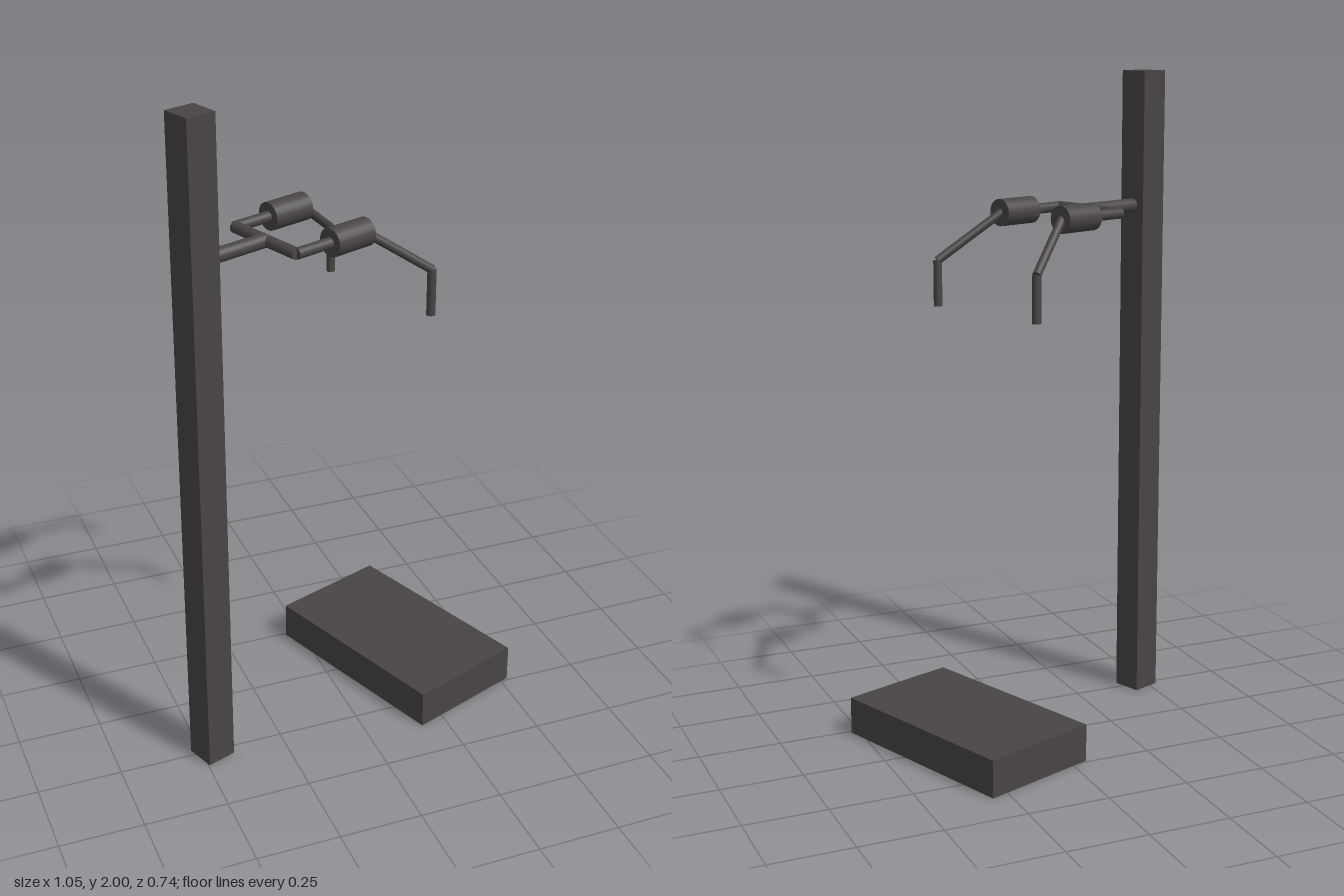
import * as THREE from 'three';

const METAL = new THREE.MeshStandardMaterial({ color: 0x484443 });
METAL.name = 'darkMetal';

const UP = new THREE.Vector3(0, 1, 0);

function box(name, w, h, d, x) {
  const mesh = new THREE.Mesh(new THREE.BoxGeometry(w, h, d), METAL);
  mesh.name = name;
  mesh.position.set(x, h / 2, 0);
  return mesh;
}

// Round bar running between two points
function rod(name, from, to, radius) {
  const a = new THREE.Vector3(...from);
  const b = new THREE.Vector3(...to);
  const dir = b.clone().sub(a);
  const mesh = new THREE.Mesh(new THREE.CylinderGeometry(radius, radius, dir.length(), 24), METAL);
  mesh.name = name;
  mesh.position.copy(a).add(b).multiplyScalar(0.5);
  mesh.quaternion.setFromUnitVectors(UP, dir.normalize());
  return mesh;
}

export function createModel() {
  const model = new THREE.Group();
  model.name = 'postWithForkedArm';

  // Everything is laid out along +x from the post, then turned as a whole
  const rig = new THREE.Group();
  rig.name = 'rig';
  rig.position.set(-0.468, 0, 0.256);
  rig.rotation.y = THREE.MathUtils.degToRad(20);
  model.add(rig);

  rig.add(box('post', 0.092, 2, 0.092, 0));
  rig.add(box('platform', 0.375, 0.115, 0.65, 0.751));

  // Main arm and crossbar
  const y = 1.59;
  rig.add(rod('mainArm', [0.03, y, 0], [0.237, y, 0], 0.021));
  rig.add(rod('crossbar', [0.237, y, -0.131], [0.237, y, 0.131], 0.017));

  // Mirrored fork branches, each with a drum and a bent finger
  for (const side of [-1, 1]) {
    const branch = new THREE.Group();
    branch.name = side > 0 ? 'frontBranch' : 'backBranch';
    const z = 0.13 * side;
    const tipZ = 0.213 * side;
    branch.add(
      rod('forkArm', [0.237, y, z], [0.37, y, z], 0.016),
      rod('drum', [0.355, y, z], [0.485, y, z], 0.041),
      rod('slantedFinger', [0.47, 1.597, z - 0.005 * side], [0.66, 1.455, tipZ], 0.013),
      rod('fingerTip', [0.66, 1.455, tipZ], [0.66, 1.318, tipZ], 0.013)
    );
    rig.add(branch);
  }
  return model;
}
